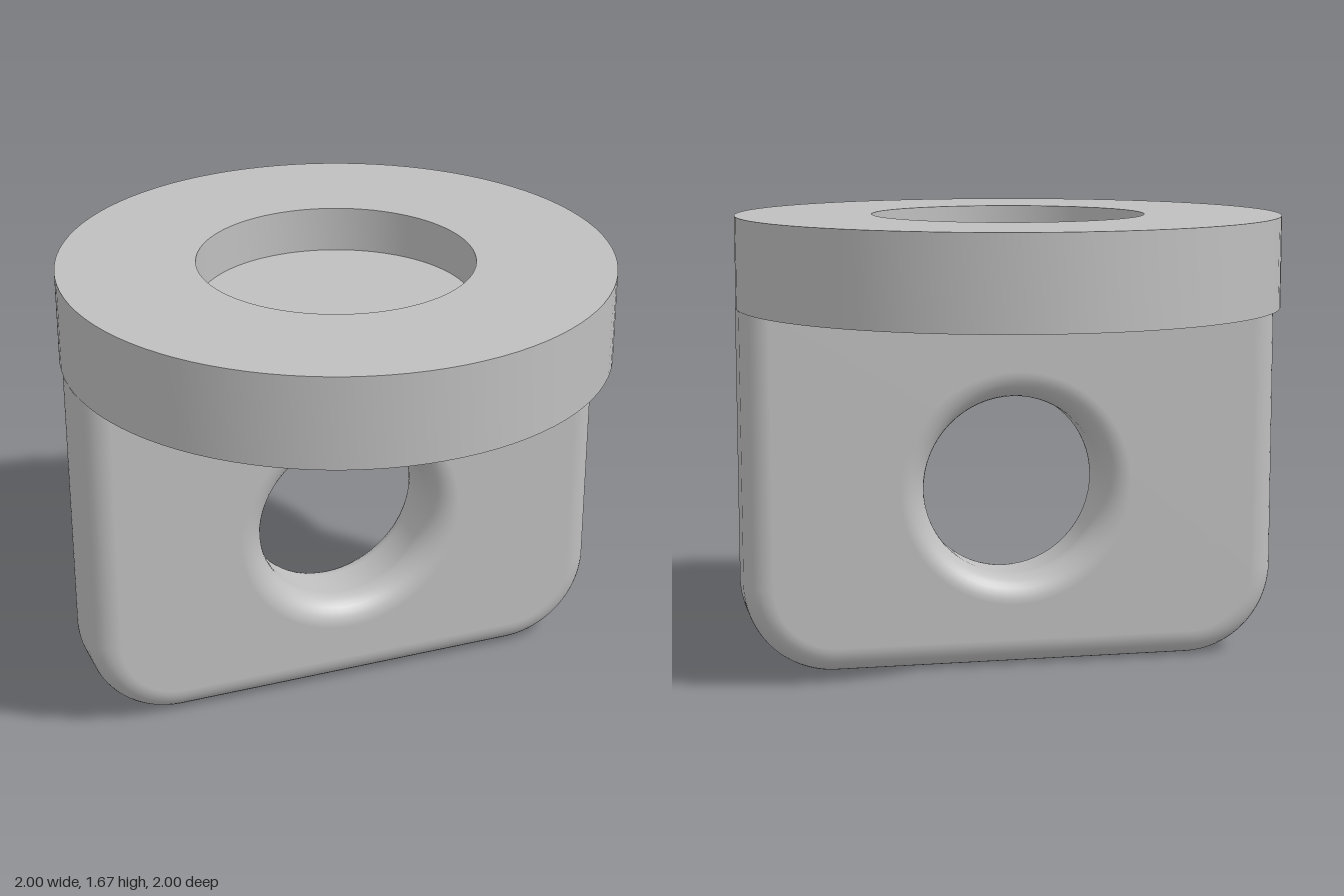
import * as THREE from 'three';
import { toCreasedNormals } from 'three/addons/utils/BufferGeometryUtils.js';

const TOP = 1.667, UNDERSIDE = 1.333, FLOOR = 1.5;
const HALF = 0.1667, FILLET = 0.1, CORNER = 0.333;

// Upright plate with rounded lower corners, a round eye and filleted edges
function plateGeometry() {
  const top = UNDERSIDE + FILLET;
  const shape = new THREE.Shape();
  shape.moveTo(1, top);
  shape.lineTo(-1, top);
  shape.lineTo(-1, CORNER);
  shape.absarc(-1 + CORNER, CORNER, CORNER, Math.PI, Math.PI * 1.5, false);
  shape.lineTo(1 - CORNER, 0);
  shape.absarc(1 - CORNER, CORNER, CORNER, Math.PI * 1.5, Math.PI * 2, false);
  shape.closePath();
  const eye = new THREE.Path();
  eye.absarc(0, 0.667, 0.333, 0, Math.PI * 2, true);
  shape.holes.push(eye);

  const depth = 2 * (HALF - FILLET);
  const extruded = new THREE.ExtrudeGeometry(shape, {
    depth, curveSegments: 32, bevelEnabled: true, bevelSegments: 8,
    bevelSize: FILLET, bevelThickness: FILLET, bevelOffset: -FILLET,
  });
  extruded.translate(0, 0, -depth / 2);

  // Trim the top fillet flat where the plate meets the disc
  const p = extruded.attributes.position;
  for (let i = 0; i < p.count; i++) p.setY(i, Math.min(p.getY(i), UNDERSIDE));

  // Smooth fillets, with true normals on the flat faces and straight walls
  const geometry = toCreasedNormals(extruded, 0.7);
  const pos = geometry.attributes.position, nor = geometry.attributes.normal;
  const n = new THREE.Vector3();
  for (let i = 0; i < pos.count; i++) {
    const z = pos.getZ(i);
    n.fromBufferAttribute(nor, i);
    if (Math.abs(z) > HALF - 0.0005) n.set(0, 0, Math.sign(z));
    else if (Math.abs(z) < depth / 2 + 0.0005) n.setZ(0).normalize();
    nor.setXYZ(i, n.x, n.y, n.z);
  }
  return geometry;
}

// Round disc with a shallow round recess in its top
function discGeometry() {
  const profile = [
    [0, UNDERSIDE], [1, UNDERSIDE], [1, TOP], [0.5, TOP], [0.5, FLOOR], [0, FLOOR],
  ].map(([r, y]) => new THREE.Vector2(r, y));
  return toCreasedNormals(new THREE.LatheGeometry(profile, 96), 0.7);
}

export function createModel() {
  const grey = new THREE.MeshStandardMaterial({ color: 0xbfbfbf });
  grey.name = 'plain grey';

  const model = new THREE.Group();
  model.name = 'recessedDiscWithEyePlate';
  const add = (name, geometry) => {
    const mesh = new THREE.Mesh(geometry, grey);
    mesh.name = name;
    model.add(mesh);
  };
  add('recessedDisc', discGeometry());
  add('eyePlate', plateGeometry());
  return model;
}
